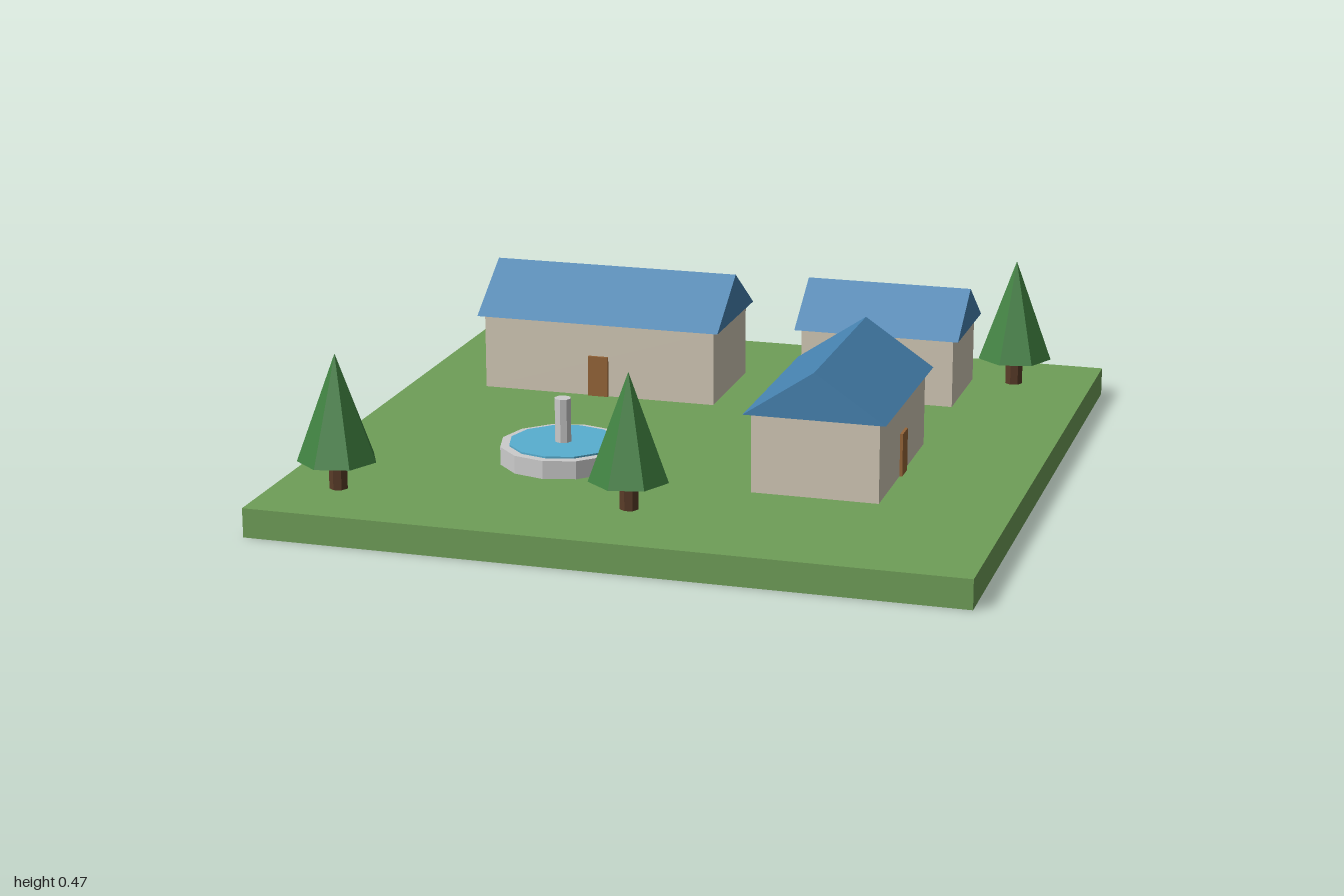
import * as THREE from 'three';

const GROUND = 0.083;
const mat = (color) => new THREE.MeshStandardMaterial({ color, flatShading: true });
const grass = mat(0x6f9e58), wall = mat(0xd2c9b6), roofBlue = mat(0x4682b0), wood = mat(0x966538);
const leaf = mat(0x3f8040), bark = mat(0x5a3c28), stone = mat(0xcccccc), water = mat(0x58aed0);

function add(parent, name, geometry, material, x, y, z) {
  const mesh = new THREE.Mesh(geometry, material);
  mesh.name = name;
  mesh.position.set(x, y, z);
  parent.add(mesh);
  return mesh;
}

// Triangular prism roof with its ridge along x
function roofGeometry(length, depth, height) {
  const s = new THREE.Shape();
  s.moveTo(-depth / 2, 0);
  s.lineTo(depth / 2, 0);
  s.lineTo(0, height);
  s.closePath();
  return new THREE.ExtrudeGeometry(s, { depth: length, bevelEnabled: false })
    .translate(0, 0, -length / 2)
    .rotateY(Math.PI / 2);
}

// House with its door on local +z; length and depth are those of the roof
function house(name, { x, z, length, depth, wallH, roofH, turn = 0 }) {
  const g = new THREE.Group();
  g.name = name;
  const wallDepth = depth * 0.9;
  add(g, 'walls', new THREE.BoxGeometry(length - 0.036, wallH, wallDepth), wall, 0, wallH / 2, 0);
  add(g, 'roof', roofGeometry(length, depth, roofH), roofBlue, 0, wallH, 0);
  add(g, 'door', new THREE.BoxGeometry(0.062, 0.123, 0.016), wood, 0, 0.0615, wallDepth / 2);
  g.position.set(x, GROUND, z);
  g.rotation.y = turn;
  return g;
}

// Seven-sided conifer
function tree(x, z) {
  const g = new THREE.Group();
  g.name = 'tree';
  const trunk = add(g, 'trunk', new THREE.CylinderGeometry(0.026, 0.026, 0.09, 7), bark, 0, 0.045, 0);
  const crown = add(g, 'foliage', new THREE.ConeGeometry(0.112, 0.3, 7), leaf, 0, 0.232, 0);
  trunk.rotation.y = crown.rotation.y = Math.PI / 2;
  g.position.set(x, GROUND, z);
  return g;
}

// Round basin with water and a central pillar
function fountain(x, z) {
  const g = new THREE.Group();
  g.name = 'fountain';
  add(g, 'basin', new THREE.CylinderGeometry(0.18, 0.18, 0.052, 12), stone, 0, 0.026, 0);
  add(g, 'water', new THREE.CylinderGeometry(0.154, 0.154, 0.01, 12), water, 0, 0.052, 0);
  add(g, 'pillar', new THREE.CylinderGeometry(0.024, 0.024, 0.183, 8), stone, 0, 0.0915, 0);
  g.position.set(x, GROUND, z);
  return g;
}

export function createModel() {
  const model = new THREE.Group();
  model.name = 'village';
  add(model, 'ground', new THREE.BoxGeometry(2, GROUND, 2), grass, 0, GROUND / 2, 0);
  model.add(
    house('longHouse', { x: -0.41, z: -0.46, length: 0.755, depth: 0.4, wallH: 0.225, roofH: 0.134 }),
    house('smallHouse', { x: 0.405, z: -0.615, length: 0.5, depth: 0.345, wallH: 0.205, roofH: 0.121 }),
    house('sideHouse', { x: 0.456, z: 0.204, length: 0.6, depth: 0.398, wallH: 0.225, roofH: 0.134, turn: Math.PI / 2 }),
    fountain(-0.307, 0.355),
    tree(-0.818, 0.763),
    tree(0, 0.711),
    tree(0.765, -0.768),
  );
  return model;
}
